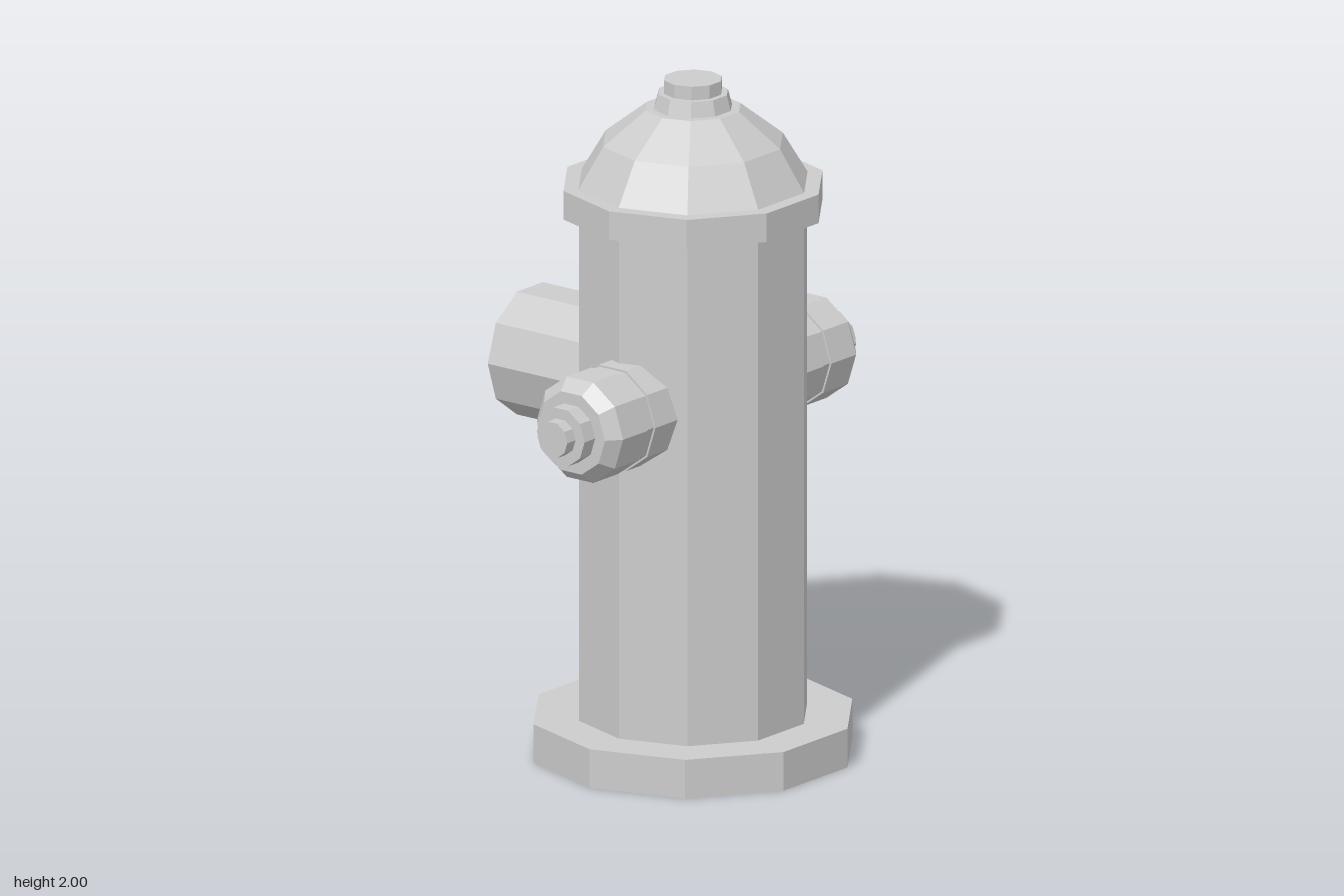
import * as THREE from 'three';

const SIDES = 10;
const AXIS_X = -0.004, AXIS_Z = 0.093, OUTLET_Y = 1.083;

const material = new THREE.MeshStandardMaterial({
  color: 0xcccccc, flatShading: true, side: THREE.DoubleSide,
});

// Faceted ten-sided turned part; profile is a list of [radius, height].
function turned(name, profile, phiStart = Math.PI / SIDES) {
  const points = profile.map(([r, y]) => new THREE.Vector2(r, y));
  const geometry = new THREE.LatheGeometry(points, SIDES, phiStart).toNonIndexed();
  geometry.computeVertexNormals();
  const mesh = new THREE.Mesh(geometry, material);
  mesh.name = name;
  return mesh;
}

export function createModel() {
  const model = new THREE.Group();
  model.name = 'fireHydrant';

  // Upright parts share one axis; the base and barrel are hollow and open below.
  const column = new THREE.Group();
  column.name = 'column';
  column.position.set(AXIS_X, 0, AXIS_Z);
  column.add(
    turned('baseFlange', [[0.47, 0], [0.47, 0.115], [0.337, 0.115]]),
    turned('barrel', [[0.337, 0.115], [0.337, 1.61]]),
    turned('bonnetFlange', [[0.337, 1.61], [0.382, 1.61], [0.382, 1.695], [0.338, 1.695]]),
    turned('bonnet', [[0.338, 1.695], [0.265, 1.817], [0.14, 1.915], [0.115, 1.915]]),
    turned('bonnetCollar', [[0.115, 1.915], [0.103, 1.96], [0.085, 1.96]]),
    turned('operatingNut', [[0.085, 1.96], [0.085, 2], [0, 2]]),
  );
  model.add(column);

  // Mirrored side outlets with a grooved cap and stepped nut.
  for (const side of [1, -1]) {
    const outlet = new THREE.Group();
    outlet.name = side > 0 ? 'leftOutlet' : 'rightOutlet';
    outlet.position.set(AXIS_X, OUTLET_Y, 0.106);
    outlet.rotation.z = -side * Math.PI / 2;
    outlet.add(
      turned('outletNeck', [[0.157, 0.26], [0.157, 0.383], [0.151, 0.383], [0.151, 0.418]], 0),
      turned('outletCap', [[0.151, 0.418], [0.157, 0.418], [0.157, 0.53], [0.123, 0.57], [0.087, 0.57]], 0),
      turned('capNut', [[0.087, 0.57], [0.087, 0.618], [0.054, 0.618], [0.054, 0.656], [0, 0.656]], 0),
    );
    model.add(outlet);
  }

  // Large rear outlet pointing to -z.
  const rear = new THREE.Group();
  rear.name = 'rearOutlet';
  rear.position.set(-0.006, OUTLET_Y, 0);
  rear.rotation.x = -Math.PI / 2;
  rear.add(
    turned('rearNozzle', [[0.192, 0.15], [0.192, 0.5], [0, 0.5]]),
    turned('rearNut', [[0.092, 0.5], [0.092, 0.545], [0, 0.545]]),
  );
  model.add(rear);

  return model;
}
